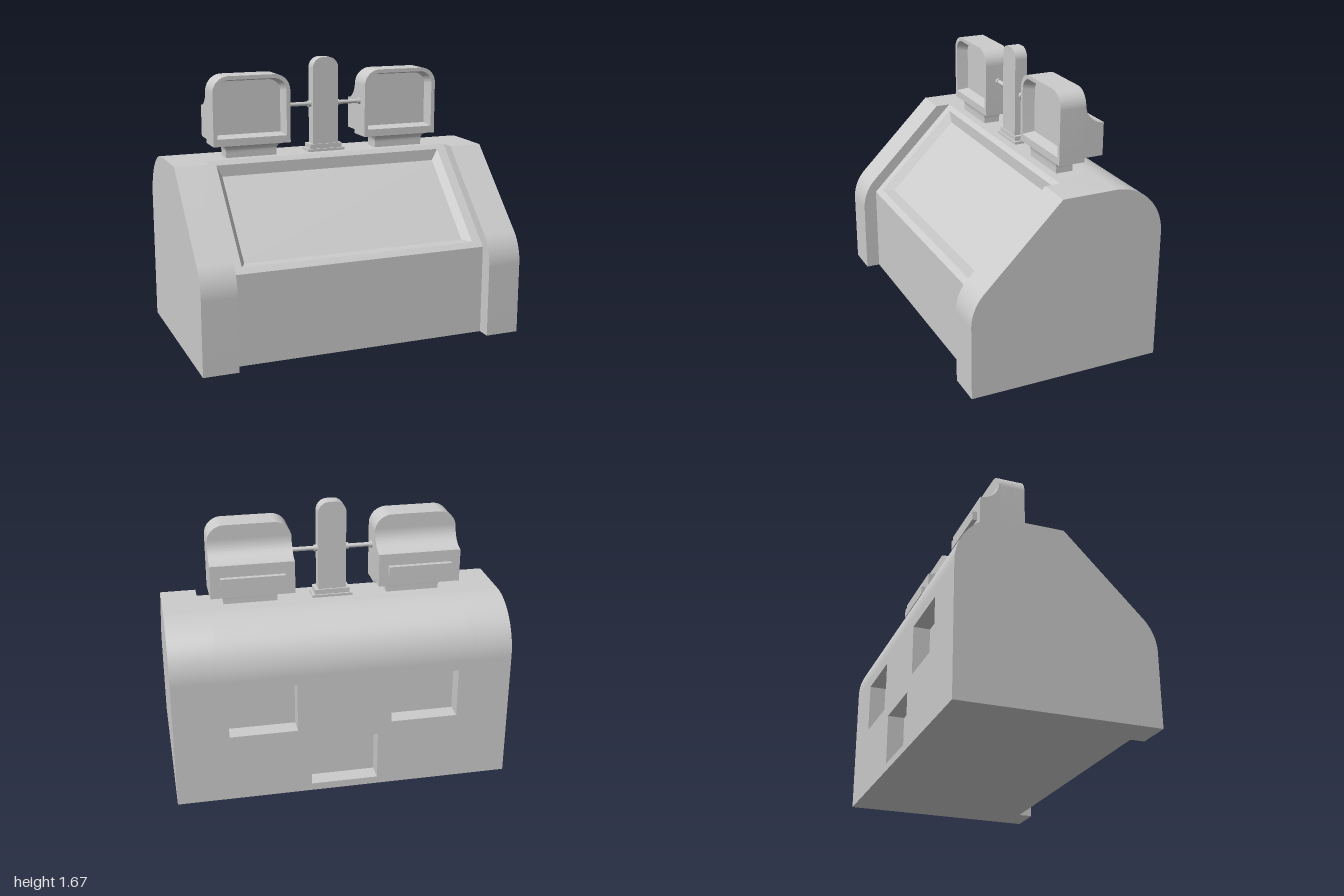
import * as THREE from 'three';
import { toCreasedNormals } from 'three/addons/utils/BufferGeometryUtils.js';

const mat = new THREE.MeshStandardMaterial({ color: 0xcccccc });
const matDouble = new THREE.MeshStandardMaterial({ color: 0xcccccc, side: THREE.DoubleSide });

function add(parent, name, geometry, material = mat) {
  const mesh = new THREE.Mesh(geometry, material);
  mesh.name = name;
  parent.add(mesh);
  return mesh;
}

// Box given by its limits on each axis
function box(x0, x1, y0, y1, z0, z1) {
  return new THREE.BoxGeometry(x1 - x0, y1 - y0, z1 - z0)
    .translate((x0 + x1) / 2, (y0 + y1) / 2, (z0 + z1) / 2);
}

// Shape in x, y extruded between two z values
function extrudeZ(shape, z0, z1) {
  const g = new THREE.ExtrudeGeometry(shape, { depth: z1 - z0, bevelEnabled: false, curveSegments: 16 });
  return toCreasedNormals(g.translate(0, 0, z0), 0.5);
}

// Profile in z, y extruded between two x values
function extrudeX(shape, x0, x1) {
  const g = new THREE.ExtrudeGeometry(shape, { depth: x1 - x0, bevelEnabled: false, curveSegments: 16 });
  return toCreasedNormals(g.rotateY(-Math.PI / 2).translate(x1, 0, 0), 0.5);
}

// Rectangle with rounded upper corners
function archShape(halfWidth, y0, y1, r, Type = THREE.Shape) {
  const s = new Type();
  s.moveTo(-halfWidth, y0);
  s.lineTo(halfWidth, y0);
  s.lineTo(halfWidth, y1 - r);
  s.absarc(halfWidth - r, y1 - r, r, 0, Math.PI / 2, false);
  s.lineTo(-halfWidth + r, y1);
  s.absarc(-halfWidth + r, y1 - r, r, Math.PI / 2, Math.PI, false);
  s.lineTo(-halfWidth, y0);
  return s;
}

// Open strip joining two outlines with equal point counts
function strip(a, b, closed) {
  const pos = [];
  const n = a.length;
  for (let i = 0; i < (closed ? n : n - 1); i++) {
    const j = (i + 1) % n;
    for (const p of [a[i], a[j], b[j], a[i], b[j], b[i]]) pos.push(...p);
  }
  const g = new THREE.BufferGeometry();
  g.setAttribute('position', new THREE.Float32BufferAttribute(pos, 3));
  return toCreasedNormals(g, 0.5);
}

const BACK = -0.585, WALL = -0.485, SHOULDER = 0.78, TOP = 1.09;

// Body section: the given front outline, then the rounded back
function bodyProfile(drawFront) {
  const s = new THREE.Shape();
  s.moveTo(WALL, 0);
  drawFront(s);
  s.lineTo(-0.275, TOP);
  s.absarc(-0.275, SHOULDER, TOP - SHOULDER, Math.PI / 2, Math.PI, false);
  s.lineTo(WALL, SHOULDER);
  s.lineTo(WALL, 0);
  return s;
}

function buildBody() {
  const body = new THREE.Group();
  body.name = 'body';

  const cheek = bodyProfile((s) => {
    s.lineTo(0.585, 0);
    s.lineTo(0.585, 0.44);
    s.absarc(0.315, 0.44, 0.27, 0, Math.PI / 4, false);
    s.lineTo(0.047, TOP);
  });
  const rim = bodyProfile((s) => {
    s.lineTo(0.5, 0);
    s.lineTo(0.5, 0.545);
    s.lineTo(-0.045, TOP);
  });
  const panel = bodyProfile((s) => {
    s.lineTo(0.5, 0);
    s.lineTo(0.5, 0.545);
    s.lineTo(0.47, 0.575);
    s.lineTo(0.4, 0.575);
    s.lineTo(-0.02, 0.995);
    s.lineTo(-0.02, 1.065);
    s.lineTo(-0.045, TOP);
  });
  add(body, 'slopedPanel', extrudeX(panel, -0.73, 0.73));
  for (const side of [-1, 1]) {
    const span = (a, b) => (side > 0 ? [a, b] : [-b, -a]);
    add(body, 'sideCheek', extrudeX(cheek, ...span(0.79, 1)));
    add(body, 'panelRim', extrudeX(rim, ...span(0.73, 0.79)));
    // slanted end of the panel recess
    const o = 0.73 * side, i = 0.695 * side;
    add(body, 'recessEnd', strip([[o, 0.575, 0.47], [o, 1.065, -0.02]],
      [[i, 0.575, 0.4], [i, 0.995, -0.02]], false), matDouble);
  }

  // Back wall with three shallow openings
  const wall = new THREE.Shape([[-1, 0], [1, 0], [1, SHOULDER], [-1, SHOULDER]]
    .map((p) => new THREE.Vector2(...p)));
  for (const [cx, cy] of [[-0.48, 0.57], [0.48, 0.57], [0, 0.195]]) {
    wall.holes.push(new THREE.Path([[-0.2, -0.15], [-0.2, 0.15], [0.2, 0.15], [0.2, -0.15]]
      .map(([x, y]) => new THREE.Vector2(cx + x, cy + y))));
  }
  add(body, 'backWall', extrudeZ(wall, BACK, WALL));
  return body;
}

function buildHead() {
  const head = new THREE.Group();
  head.name = 'monitorHead';
  const w = 0.2425, floorZ = -0.14;

  // Casing: open frame in front, solid behind
  const frame = archShape(w, 1.165, 1.585, 0.1);
  const opening = archShape(0.218, 1.21, 1.562, 0.08, THREE.Path);
  frame.holes.push(opening);
  add(head, 'screenFrame', extrudeZ(frame, floorZ, -0.07));
  add(head, 'casing', extrudeZ(archShape(w, 1.165, 1.585, 0.1), -0.23, floorZ));

  // Tapered wall round the screen
  const points = opening.getPoints(16).slice(0, -1);
  const midY = 1.386;
  add(head, 'screenBezel', strip(points.map((p) => [p.x, p.y, -0.07]),
    points.map((p) => [p.x * 0.92, midY + (p.y - midY) * 0.92, floorZ]), true), matDouble);

  // Rear housing with a hollow curve on top
  const rear = new THREE.Shape();
  rear.moveTo(-0.345, 1.19);
  rear.lineTo(-0.22, 1.19);
  rear.lineTo(-0.22, 1.5);
  rear.lineTo(-0.23, 1.5);
  rear.absarc(-0.345, 1.5, 0.115, 0, -Math.PI / 2, true);
  rear.lineTo(-0.345, 1.19);
  add(head, 'rearHousing', extrudeX(rear, -w, w));
  add(head, 'rearBar', box(-0.186, 0.186, 1.26, 1.315, -0.372, -0.34));

  // Neck flaring out towards the casing
  const neck = new THREE.BoxGeometry(1, 0.075, 1, 1, 12, 1);
  const p = neck.attributes.position;
  for (let i = 0; i < p.count; i++) {
    const t = Math.max(0, (p.getY(i) + 0.0375 - 0.035) / 0.04);
    const flare = 0.027 * (1 - Math.sqrt(Math.max(0, 1 - t * t)));
    p.setX(i, Math.sign(p.getX(i)) * (0.16 + flare));
    p.setZ(i, Math.sign(p.getZ(i)) * (0.052 + flare));
  }
  add(head, 'neck', toCreasedNormals(neck, 0.6)).position.set(0, 1.1275, -0.149);
  return head;
}

function buildPost() {
  const post = new THREE.Group();
  post.name = 'centrePost';
  add(post, 'post', extrudeZ(archShape(0.083, 1.1, 1.67, 0.065), -0.19, -0.112));
  add(post, 'baseStep', box(-0.105, 0.105, 1.1, 1.135, -0.2, -0.105));
  add(post, 'basePlate', box(-0.12, 0.12, 1.09, 1.106, -0.21, -0.095));
  return post;
}

// Rod with a collar at each end
function buildRod(side) {
  const rod = new THREE.Group();
  rod.name = 'linkRod';
  for (const [name, r, x0, x1] of [['rod', 0.013, 0.08, 0.25],
    ['innerCollar', 0.02, 0.08, 0.103], ['outerCollar', 0.02, 0.228, 0.25]]) {
    const g = new THREE.CylinderGeometry(r, r, x1 - x0, 20).rotateZ(Math.PI / 2);
    add(rod, name, g).position.set(side * (x0 + x1) / 2, 1.383, -0.155);
  }
  return rod;
}

export function createModel() {
  const model = new THREE.Group();
  model.name = 'console';
  model.add(buildBody(), buildPost());
  for (const side of [-1, 1]) {
    const head = buildHead();
    head.position.x = side * 0.4875;
    model.add(head, buildRod(side));
  }
  return model;
}
